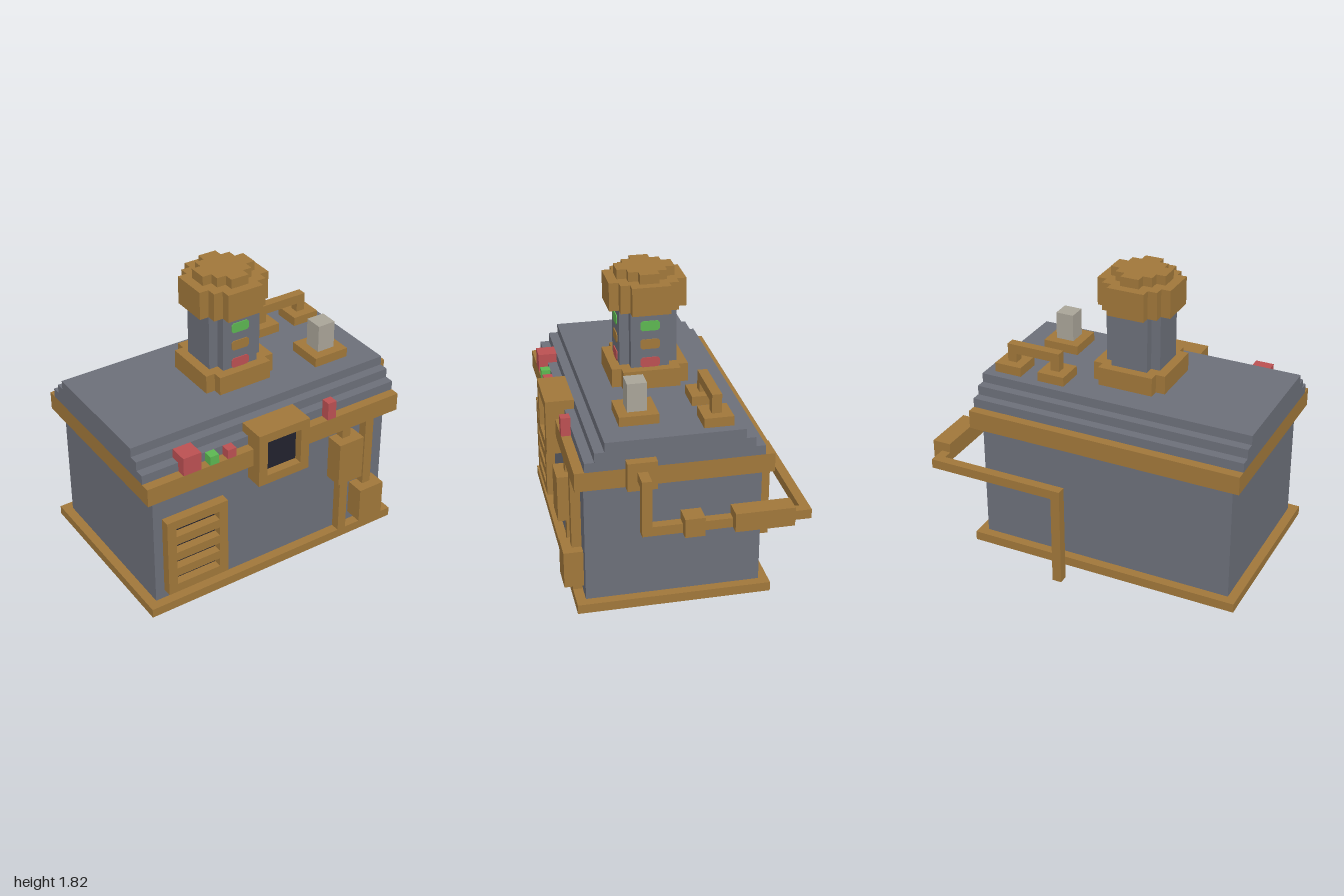
import * as THREE from 'three';

const U = 1 / 17; // one block of the grid everything is built on

const mat = (name, color) => {
  const m = new THREE.MeshStandardMaterial({ color });
  m.name = name;
  return m;
};

export function createModel() {
  const brass = mat('brass', 0xa0773a);
  const steel = mat('steel', 0x6c6f79);
  const dark = mat('dark', 0x21212d);
  const red = mat('red', 0xbb5052);
  const green = mat('green', 0x5cb651);
  const pale = mat('pale', 0xa9a498);

  const model = new THREE.Group();
  model.name = 'machine';

  const add = (name, geometry, material) => {
    geometry.scale(U, U, U);
    const mesh = new THREE.Mesh(geometry, material);
    mesh.name = name;
    model.add(mesh);
    return mesh;
  };

  // box from its low and high limits, in blocks
  const box = (name, material, x0, x1, y0, y1, z0, z1) =>
    add(name, new THREE.BoxGeometry(x1 - x0, y1 - y0, z1 - z0)
      .translate((x0 + x1) / 2, (y0 + y1) / 2, (z0 + z1) / 2), material);

  const rect = (Kind, x0, x1, y0, y1) => new Kind([[x0, y0], [x1, y0], [x1, y1], [x0, y1]]
    .map(([x, y]) => new THREE.Vector2(x, y)));

  // rectangular plate with rectangular holes, one block deep
  const frame = (outer, holes) => {
    const shape = rect(THREE.Shape, ...outer);
    shape.holes = holes.map((h) => rect(THREE.Path, ...h));
    return new THREE.ExtrudeGeometry(shape, { depth: 1, bevelEnabled: false });
  };

  // housing
  box('body', steel, -16, 12, 0, 14, -8, 10);
  add('baseRim', frame([-17, 13, -11, 9], [[-16, 12, -10, 8]]).rotateX(-Math.PI / 2), brass);
  box('upperTrim', brass, -17, 13, 14, 16, -9, 11);
  for (let i = 0; i < 3; i++) {
    box('roofStep', steel, -17, 13, 16 + i, 17 + i, -8 + i, 10 - i);
  }

  // front vent
  const slots = [3, 5, 7, 9].map((y) => [-14, -9, y, y + 1]);
  add('ventFrame', frame([-15, -8, 2, 11], slots).translate(0, 0, 10), brass);
  slots.forEach((s) => box('ventSlot', dark, ...s, 10, 10.08));

  // front screen
  box('screenHousing', brass, -5, 1, 12, 18, 9, 11);
  add('screenFrame', frame([-5, 1, 12, 18], [[-4, 0, 13, 17]]).translate(0, 0, 11), brass);
  box('screen', dark, -4, 0, 13, 17, 11, 11.08);

  // buttons on the front ledge
  box('largeRedButton', red, -13, -11, 16, 18, 9, 11);
  box('greenButton', green, -10, -9, 16, 17, 10, 11);
  box('smallRedButton', red, -8, -7, 16, 17, 10, 11);
  box('tallRedButton', red, 4, 5, 16, 18, 10, 11);

  // front pipes with their boxes
  box('frontPipe', brass, 6, 7, 1, 14, 10, 11);
  box('pipeBoxUpper', brass, 5, 8, 8, 13, 10, 12);
  box('frontPipe', brass, 9, 10, 1, 14, 10, 11);
  box('pipeBoxLower', brass, 8, 11, 2, 6, 10, 12);

  // pipe leaving the side and running round to the back
  box('sideFlange', brass, 13, 14, 14, 17, 3, 6);
  box('sidePipeOutlet', brass, 14, 15, 15, 16, 4, 5);
  box('sidePipeDrop', brass, 15, 16, 10, 16, 4, 5);
  box('sidePipeRun', brass, 15, 16, 10, 11, 1, 4);
  box('sideValve', brass, 15, 17, 10, 12, -1, 1);
  box('sidePipeRun', brass, 15, 16, 10, 11, -4, -1);
  box('sideTank', brass, 15, 17, 10, 12, -10, -4);
  box('sidePipeRun', brass, 15, 16, 10, 11, -11, -10);
  box('backPipe', brass, 1, 16, 10, 11, -12, -11);
  box('backPipeLeg', brass, 1, 2, 0, 10, -12, -11);

  // chimney rings: one stepped corner turned four times
  const stepped = (name, material, corner, y0, y1) => {
    const pts = [];
    let c = corner;
    for (let q = 0; q < 4; q++) {
      c.forEach(([x, y]) => pts.push(new THREE.Vector2(x, y)));
      c = c.map(([x, y]) => [-y, x]);
    }
    const g = new THREE.ExtrudeGeometry(new THREE.Shape(pts), { depth: y1 - y0, bevelEnabled: false });
    add(name, g.rotateX(-Math.PI / 2).translate(-2, y0, 1), material);
  };
  stepped('chimneyBase', brass, [[4, 3], [3, 3], [3, 4]], 19, 21);
  stepped('chimneyColumn', steel, [[3, 2], [2, 2], [2, 3]], 21, 27);
  stepped('chimneyCap', brass, [[4, 2], [3, 2], [3, 3], [2, 3], [2, 4]], 27, 30);
  stepped('chimneyTop', brass, [[3, 1], [2, 1], [2, 2], [1, 2], [1, 3]], 30, 31);

  // chimney lamps on the front and the left side
  const lampShape = new THREE.Shape([[-1, 0.2], [-0.8, 0], [0.8, 0], [1, 0.2], [1, 0.85], [0.8, 1.05],
    [-0.8, 1.05], [-1, 0.85]].map(([x, y]) => new THREE.Vector2(x, y)));
  [[red, 21], [brass, 23], [green, 25]].forEach(([material, y]) => {
    [0, Math.PI / 2].forEach((turn) => {
      const g = new THREE.ExtrudeGeometry(lampShape, { depth: 0.1, bevelEnabled: false });
      add('chimneyLamp', g.translate(0, y, 3).rotateY(turn).translate(-2, 0, 1), material);
    });
  });

  // roof knob
  box('knobPlate', brass, 6, 10, 19, 20, 2, 6);
  box('knob', pale, 7, 9, 20, 23, 3, 5);

  // roof handle
  [[4, 5], [9, 10]].forEach(([plate, post]) => {
    box('handlePlate', brass, plate, plate + 3, 19, 20, -5, -2);
    box('handlePost', brass, post, post + 1, 20, 21, -4, -3);
  });
  box('handleBar', brass, 5, 11, 21, 22, -4, -3);

  return model;
}
